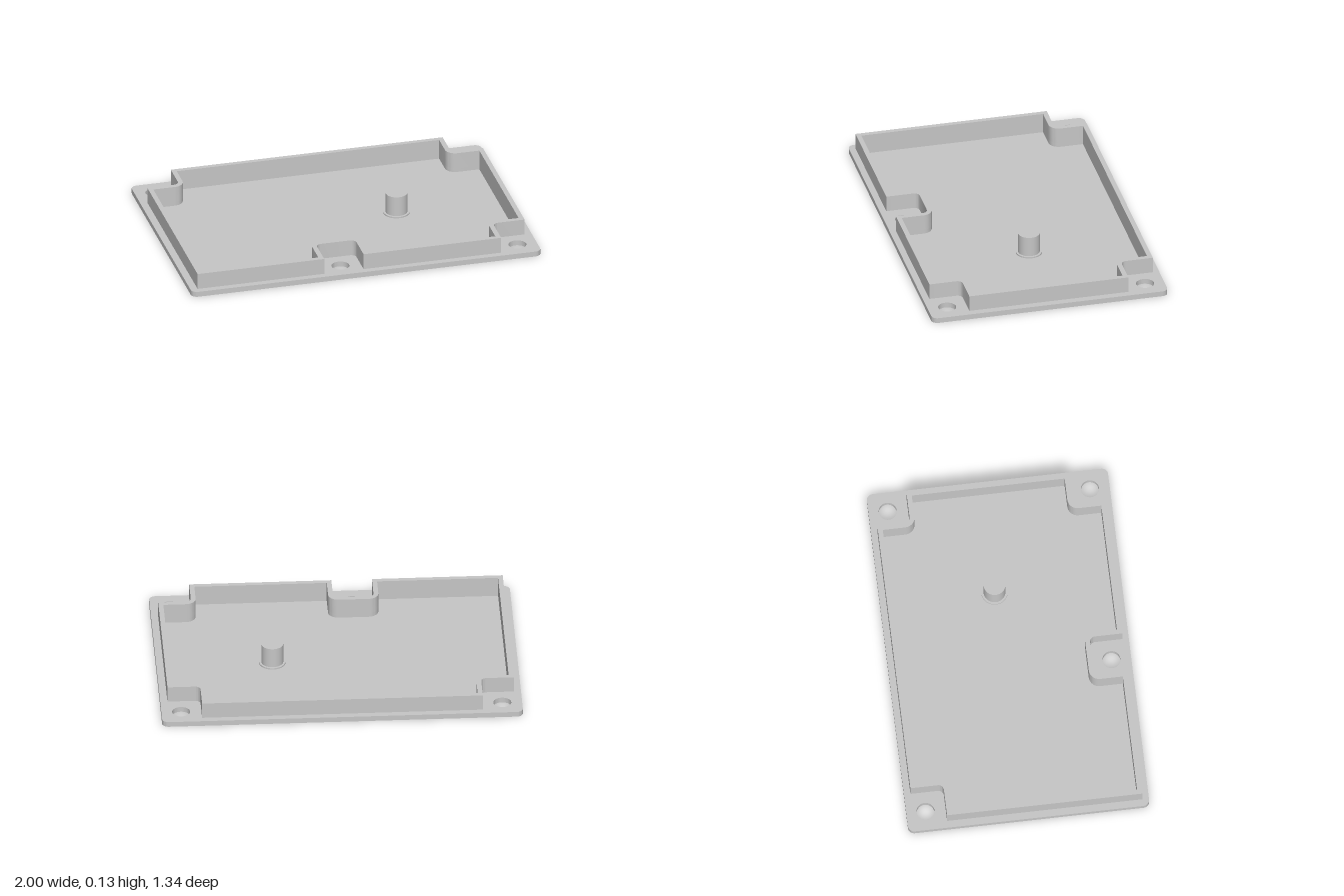
import * as THREE from 'three';
import { toCreasedNormals } from 'three/addons/utils/BufferGeometryUtils.js';

const FLOOR = 0.006, RIM = 0.03, TOP = 0.122, WALL = 0.027;

// Closed outline from [x, z, cornerRadius] entries with right-angled corners
function outline(corners) {
  const pts = [];
  const n = corners.length;
  corners.forEach(([x, z, r = 0], i) => {
    const p = new THREE.Vector2(x, z);
    if (!r) { pts.push(p); return; }
    const toward = (c) => new THREE.Vector2(c[0], c[1]).sub(p).normalize();
    const u = toward(corners[(i + n - 1) % n]);
    const v = toward(corners[(i + 1) % n]);
    const centre = p.clone().addScaledVector(u, r).addScaledVector(v, r);
    for (let k = 0; k <= 10; k++) {
      const a = (k / 10) * Math.PI / 2;
      pts.push(centre.clone()
        .addScaledVector(v, -r * Math.cos(a))
        .addScaledVector(u, -r * Math.sin(a)));
    }
  });
  return pts;
}

// Wall outline, inset by t, stepping in around the screw holes
function wallOutline(t) {
  const X = 0.96 - t, Z = 0.636 - t, nx = 0.778 - t, nz = 0.453 - t;
  const a = -0.235 - t, b = -0.01 + t, r = 0.03 + t;
  return outline([
    [-X, Z], [a, Z], [a, nz, r], [b, nz, r], [b, Z],
    [nx, Z], [nx, nz, r], [X, nz],
    [X, -nz], [nx, -nz, r], [nx, -Z],
    [-nx, -Z], [-nx, -nz, r], [-X, -nz],
  ]);
}

// Inner wall outline as a hole, wound opposite to the outer outlines
const recess = () => new THREE.Path(wallOutline(WALL).reverse());

function plateShape() {
  const shape = new THREE.Shape(outline([
    [-1, 0.672, 0.035], [1, 0.672, 0.035], [1, -0.672, 0.035], [-1, -0.672, 0.035],
  ]));
  for (const [x, z] of [[-0.89, -0.565], [0.89, -0.565], [0.89, 0.562], [-0.123, 0.562]]) {
    shape.holes.push(new THREE.Path().absarc(x, z, 0.05, 0, Math.PI * 2));
  }
  return shape;
}

// Flat shape in x/z extruded between two heights
function slab(name, shape, y0, y1, material) {
  const geo = new THREE.ExtrudeGeometry(shape, { depth: y1 - y0, bevelEnabled: false, curveSegments: 20 });
  geo.rotateX(Math.PI / 2).translate(0, y1, 0);
  const mesh = new THREE.Mesh(toCreasedNormals(geo, 0.6), material);
  mesh.name = name;
  return mesh;
}

export function createModel() {
  const group = new THREE.Group();
  group.name = 'enclosureLid';
  const grey = new THREE.MeshStandardMaterial({ color: 0xc6c6c6 });
  grey.name = 'grey plastic';

  // Thin floor and the thicker flange around the recess
  group.add(slab('floor', plateShape(), 0, FLOOR, grey));
  const flange = plateShape();
  flange.holes.push(recess());
  group.add(slab('flange', flange, FLOOR, RIM, grey));

  // Upright wall
  const wall = new THREE.Shape(wallOutline(0));
  wall.holes.push(recess());
  group.add(slab('wall', wall, RIM, TOP, grey));

  // Peg standing on a low round foot
  const peg = new THREE.Group();
  peg.name = 'peg';
  peg.position.set(0.355, 0, -0.033);
  for (const [name, radius, y0, y1] of [['pegFoot', 0.073, FLOOR, 0.014], ['pegPost', 0.061, 0.014, 0.13]]) {
    const part = new THREE.Mesh(new THREE.CylinderGeometry(radius, radius, y1 - y0, 40), grey);
    part.name = name;
    part.position.y = (y0 + y1) / 2;
    peg.add(part);
  }
  group.add(peg);

  return group;
}
